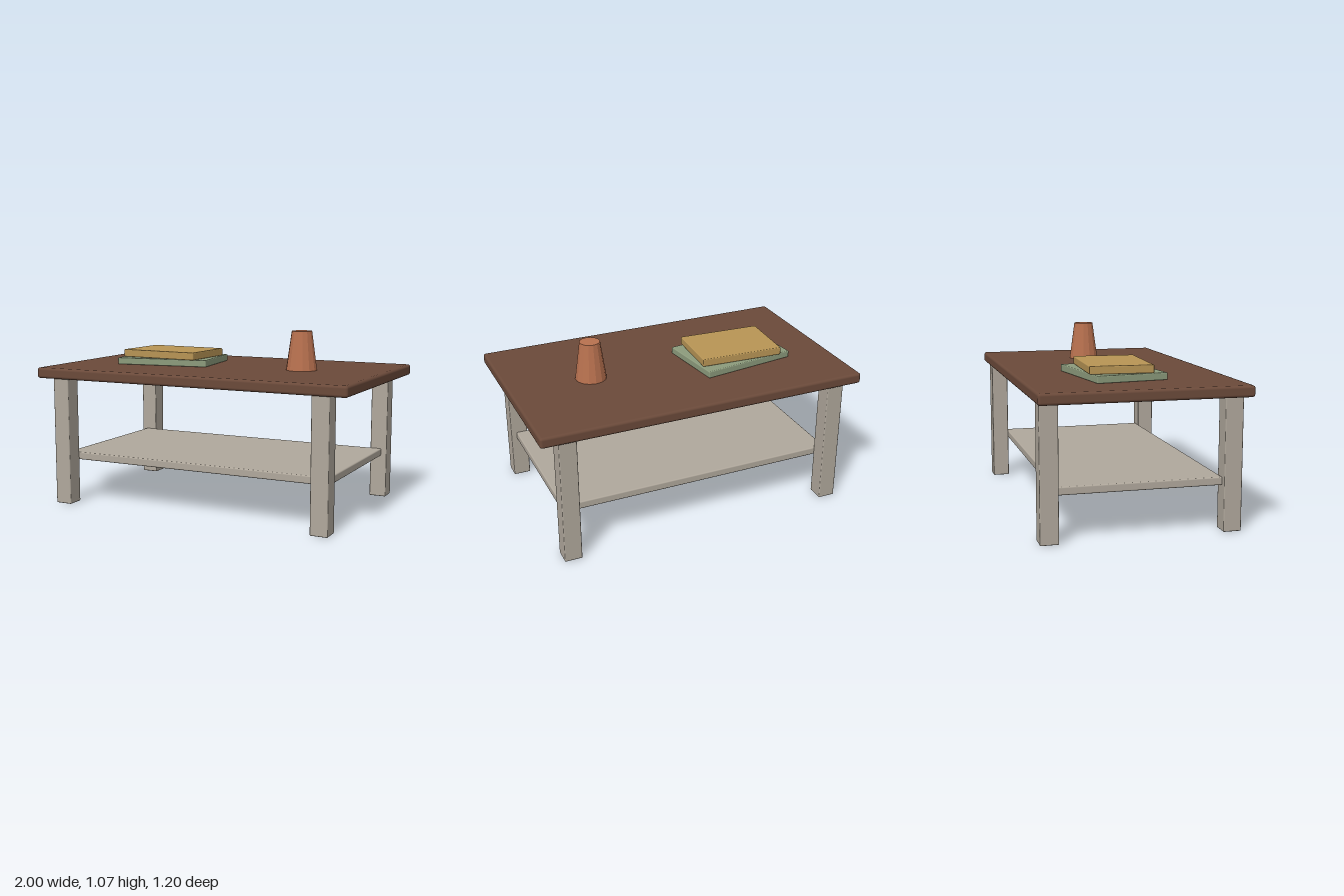
import * as THREE from 'three';
import { RoundedBoxGeometry } from 'three/addons/geometries/RoundedBoxGeometry.js';

const material = (name, color) => {
  const m = new THREE.MeshStandardMaterial({ color });
  m.name = name;
  return m;
};

export function createModel() {
  const wood = material('dark wood', 0x6b4a3a);
  const paint = material('painted grey', 0xb0a89c);
  const green = material('sage cover', 0x8c9b7c);
  const ochre = material('ochre cover', 0xb89555);
  const clay = material('terracotta', 0xb8714f);
  const table = new THREE.Group();
  table.name = 'coffeeTable';

  // Softly bevelled block, placed by its centre and bottom height
  function block(name, mat, [w, h, d], [x, bottom, z], bevel, turn = 0) {
    const mesh = new THREE.Mesh(new RoundedBoxGeometry(w, h, d, 2, bevel), mat);
    mesh.name = name;
    mesh.position.set(x, bottom + h / 2, z);
    mesh.rotation.y = turn;
    table.add(mesh);
  }

  // Table top and lower shelf
  block('tableTop', wood, [2, 0.065, 1.196], [0, 0.775, 0], 0.016);
  block('shelf', paint, [1.72, 0.047, 0.942], [0, 0.263, 0], 0.008);

  // Four square legs
  for (const [side, sx] of [['Left', 1], ['Right', -1]]) {
    for (const [end, sz] of [['front', 1], ['back', -1]]) {
      block(`${end}${side}Leg`, paint, [0.105, 0.78, 0.105], [sx * 0.841, 0, sz * 0.522], 0.006);
    }
  }

  // Two stacked books, turned slightly against each other
  block('lowerBook', green, [0.588, 0.042, 0.426], [-0.4, 0.839, -0.043], 0.006, 0.137);
  block('upperBook', ochre, [0.512, 0.047, 0.37], [-0.4, 0.88, -0.043], 0.006, -0.05);

  // Tapered faceted vase
  const vaseMat = clay;
  vaseMat.flatShading = true;
  const vase = new THREE.Mesh(new THREE.CylinderGeometry(0.061, 0.094, 0.234, 14), vaseMat);
  vase.name = 'vase';
  vase.position.set(0.5, 0.956, 0);
  table.add(vase);

  return table;
}
